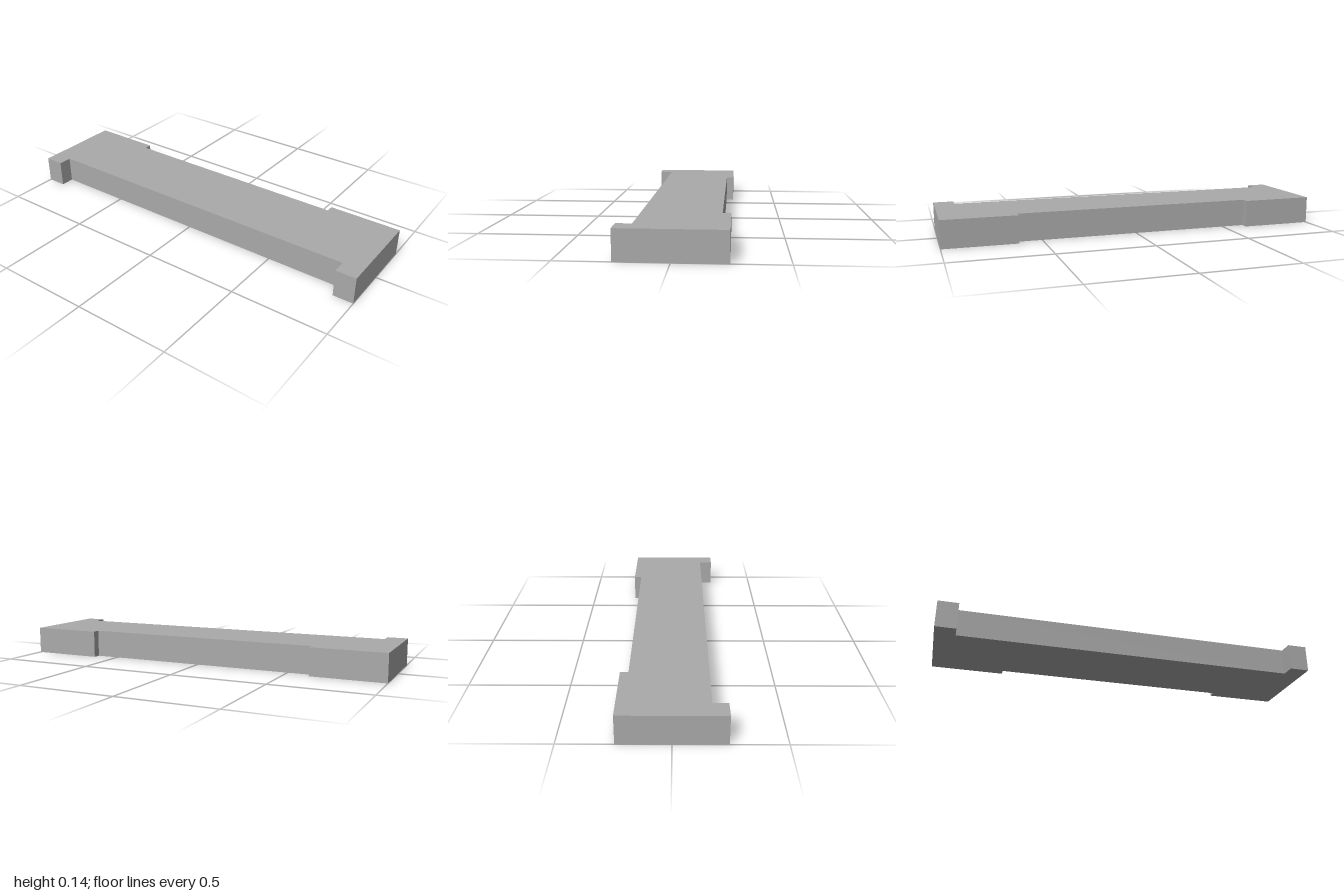
import * as THREE from 'three';

export function createModel() {
  const group = new THREE.Group();
  const grey = new THREE.MeshStandardMaterial({ color: 0xaaaaaa });
  grey.name = 'grey';

  const height = 0.142;

  // Right half of the plan outline as [x, z], from front to back
  const half = [
    [0.895, 0.172], [0.895, 0.245], [1, 0.245],
    [1, -0.245], [0.622, -0.245], [0.622, -0.205],
  ];
  const mirrored = half.map(([x, z]) => [-x, z]).reverse();
  const outline = [...half, ...mirrored].map(([x, z]) => new THREE.Vector2(x, -z));

  // Slab with a long notch in the front and back edges, laid flat
  const geometry = new THREE.ExtrudeGeometry(new THREE.Shape(outline), {
    depth: height,
    bevelEnabled: false,
  });
  geometry.rotateX(-Math.PI / 2);

  const slab = new THREE.Mesh(geometry, grey);
  slab.name = 'notchedSlab';
  group.add(slab);
  return group;
}
